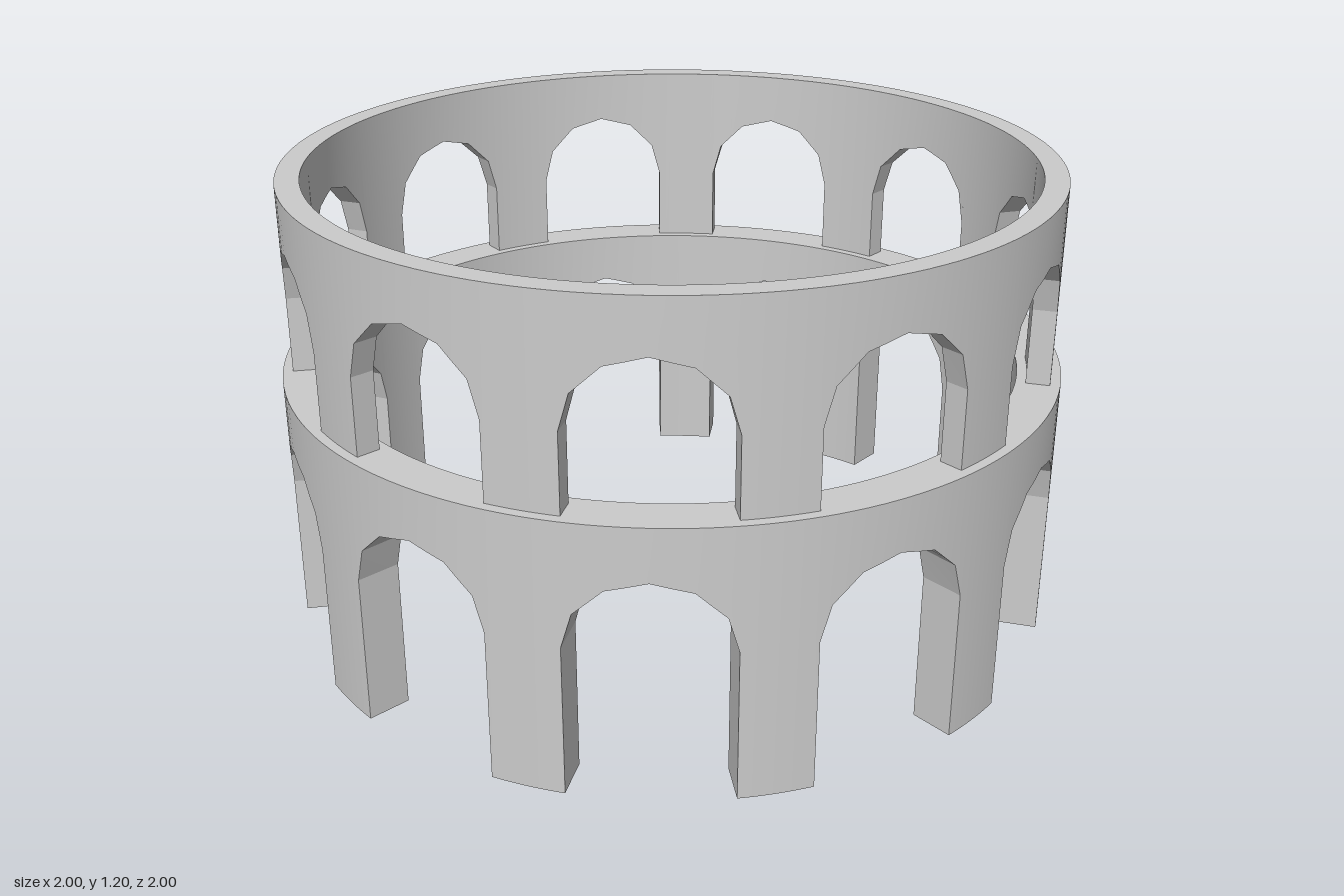
import * as THREE from 'three';
import { toCreasedNormals } from 'three/addons/utils/BufferGeometryUtils.js';

const BAYS = 11;
const BAY = (Math.PI * 2) / BAYS;
const HALF_ARCH = 0.195; // half opening, in radians
const ARCH_SEGMENTS = 6;
const ARCH_RISE = 0.177;

// Underside of the wall as [angle, height], bay after bay around the ring
function undersideProfile(base, crown) {
  const spring = crown - ARCH_RISE;
  const points = [];
  for (let bay = 0; bay < BAYS; bay++) {
    const centre = bay * BAY;
    // faceted arch from its right-hand springing to the other
    for (let i = 0; i <= ARCH_SEGMENTS; i++) {
      const a = Math.PI * (1 - i / ARCH_SEGMENTS);
      points.push([centre + HALF_ARCH * Math.cos(a), spring + ARCH_RISE * Math.sin(a)]);
    }
    // foot of the pier that follows
    const pier = BAY - 2 * HALF_ARCH;
    for (let i = 0; i <= 4; i++) points.push([centre + HALF_ARCH + (pier * i) / 4, base]);
  }
  points.push([Math.PI * 2 - HALF_ARCH, spring]);

  // halve the sloping and level spans so that the ring stays round
  const fine = [points[0]];
  for (let i = 1; i < points.length; i++) {
    const [a0, y0] = points[i - 1];
    const [a1, y1] = points[i];
    if (a1 - a0 > 0.03) fine.push([(a0 + a1) / 2, (y0 + y1) / 2]);
    fine.push(points[i]);
  }
  return fine;
}

// Round wall pierced by arches, closed on every side
function arcadeRing(inner, outer, base, top, crown) {
  const positions = [];
  const at = (r, a, y) => [r * Math.sin(a), y, r * Math.cos(a)];
  const quad = (a, b, c, d) => positions.push(...a, ...b, ...c, ...a, ...c, ...d);

  const profile = undersideProfile(base, crown);
  for (let i = 1; i < profile.length; i++) {
    const [a0, y0] = profile[i - 1];
    const [a1, y1] = profile[i];
    // soffit, jamb or pier foot
    quad(at(inner, a0, y0), at(inner, a1, y1), at(outer, a1, y1), at(outer, a0, y0));
    if (a1 - a0 < 1e-6) continue;
    // outer face, inner face and rim
    quad(at(outer, a0, y0), at(outer, a1, y1), at(outer, a1, top), at(outer, a0, top));
    quad(at(inner, a1, y1), at(inner, a0, y0), at(inner, a0, top), at(inner, a1, top));
    quad(at(outer, a0, top), at(outer, a1, top), at(inner, a1, top), at(inner, a0, top));
  }

  const geometry = new THREE.BufferGeometry();
  geometry.setAttribute('position', new THREE.Float32BufferAttribute(positions, 3));
  return toCreasedNormals(geometry, 0.2);
}

export function createModel() {
  const group = new THREE.Group();
  group.name = 'arcadedRotunda';
  const material = new THREE.MeshStandardMaterial({ color: 0xcccccc });

  const tiers = [
    ['lowerArcade', 0.89, 1.0, 0, 0.695, 0.562],
    ['upperArcade', 0.915, 0.975, 0.695, 1.2, 1.068],
  ];
  for (const [name, ...size] of tiers) {
    const mesh = new THREE.Mesh(arcadeRing(...size), material);
    mesh.name = name;
    group.add(mesh);
  }
  return group;
}
